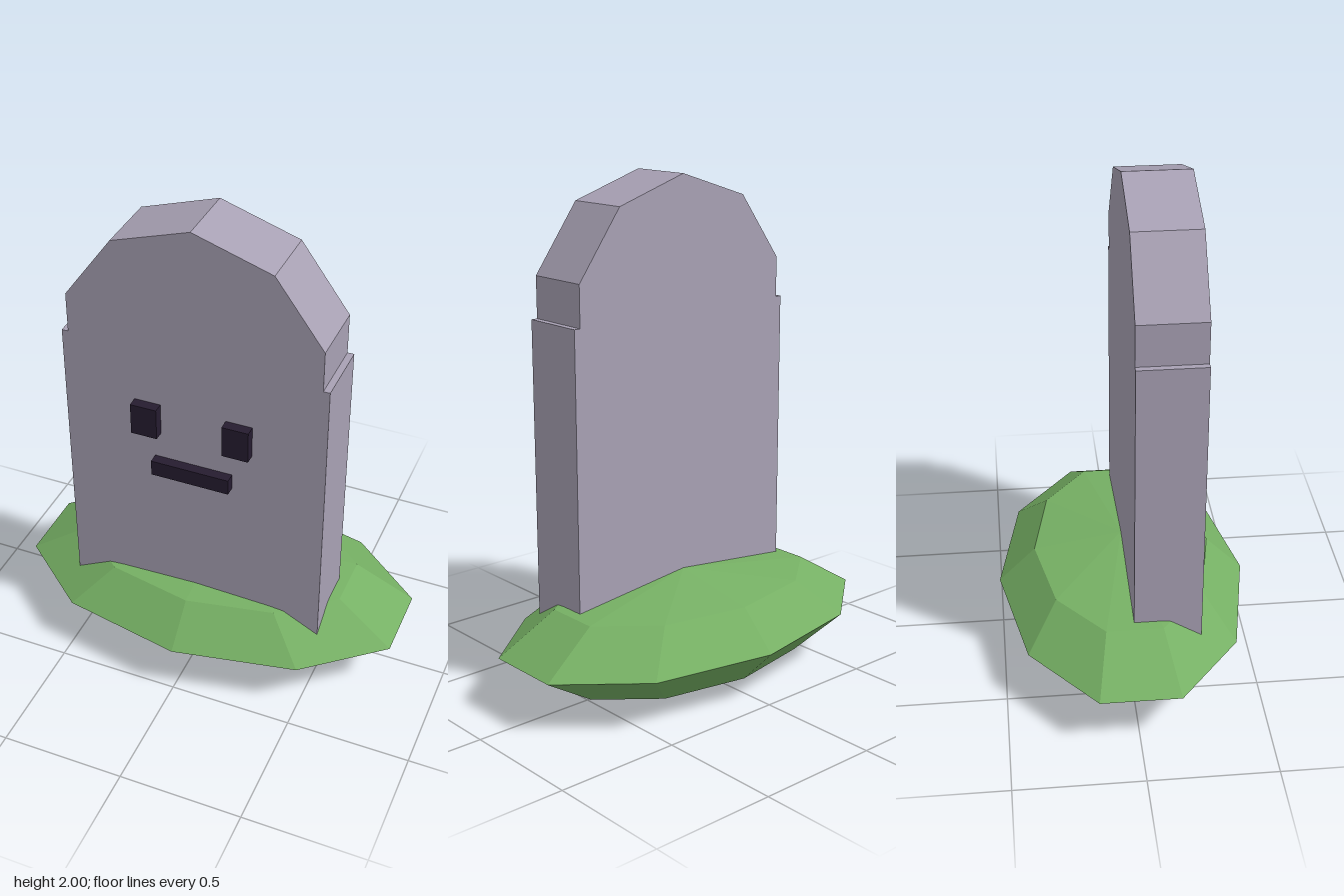
import * as THREE from 'three';

const paint = (color) => new THREE.MeshStandardMaterial({ color, flatShading: true });

export function createModel() {
  const model = new THREE.Group();
  model.name = 'gravestone';
  const stone = paint(0xa8a1b4);
  const grass = paint(0x76b064);
  const dark = paint(0x261c30);

  const add = (name, geometry, material, x, y, z, parent = model) => {
    const mesh = new THREE.Mesh(geometry, material);
    mesh.name = name;
    mesh.position.set(x, y, z);
    parent.add(mesh);
    return mesh;
  };

  // Grassy mound: squashed low-poly ball with a corner on the z axis
  const mound = new THREE.SphereGeometry(1, 10, 4, Math.PI / 2);
  mound.scale(0.843, 0.212, 0.507);
  add('mound', mound, grass, 0, 0.213, 0);

  // Slab: straight sides, small shoulders, and the top half of a decagon
  const half = 0.528, shoulder = 1.473, depth = 0.264;
  const outline = [[-half, 0.21], [half, 0.21], [half, shoulder]];
  outline.push([half * Math.sin(Math.PI * 0.4), shoulder]);
  for (let i = 2; i >= -2; i--) {
    const a = (i * Math.PI) / 5;
    outline.push([half * Math.sin(a), shoulder + half * Math.cos(a)]);
  }
  outline.push([-half * Math.sin(Math.PI * 0.4), shoulder], [-half, shoulder]);
  const shape = new THREE.Shape(outline.map(([x, y]) => new THREE.Vector2(x, y)));
  add('slab', new THREE.ExtrudeGeometry(shape, { depth, bevelEnabled: false }), stone, 0, 0, 0);

  // Face: raised blocks, sunk slightly into the slab
  const face = new THREE.Group();
  face.name = 'face';
  model.add(face);
  for (const side of [-1, 1]) {
    add(side > 0 ? 'leftEye' : 'rightEye', new THREE.BoxGeometry(0.106, 0.132, 0.08),
      dark, side * 0.185, 1.17, 0.265, face);
  }
  add('mouth', new THREE.BoxGeometry(0.318, 0.065, 0.08), dark, 0, 0.958, 0.265, face);

  return model;
}
